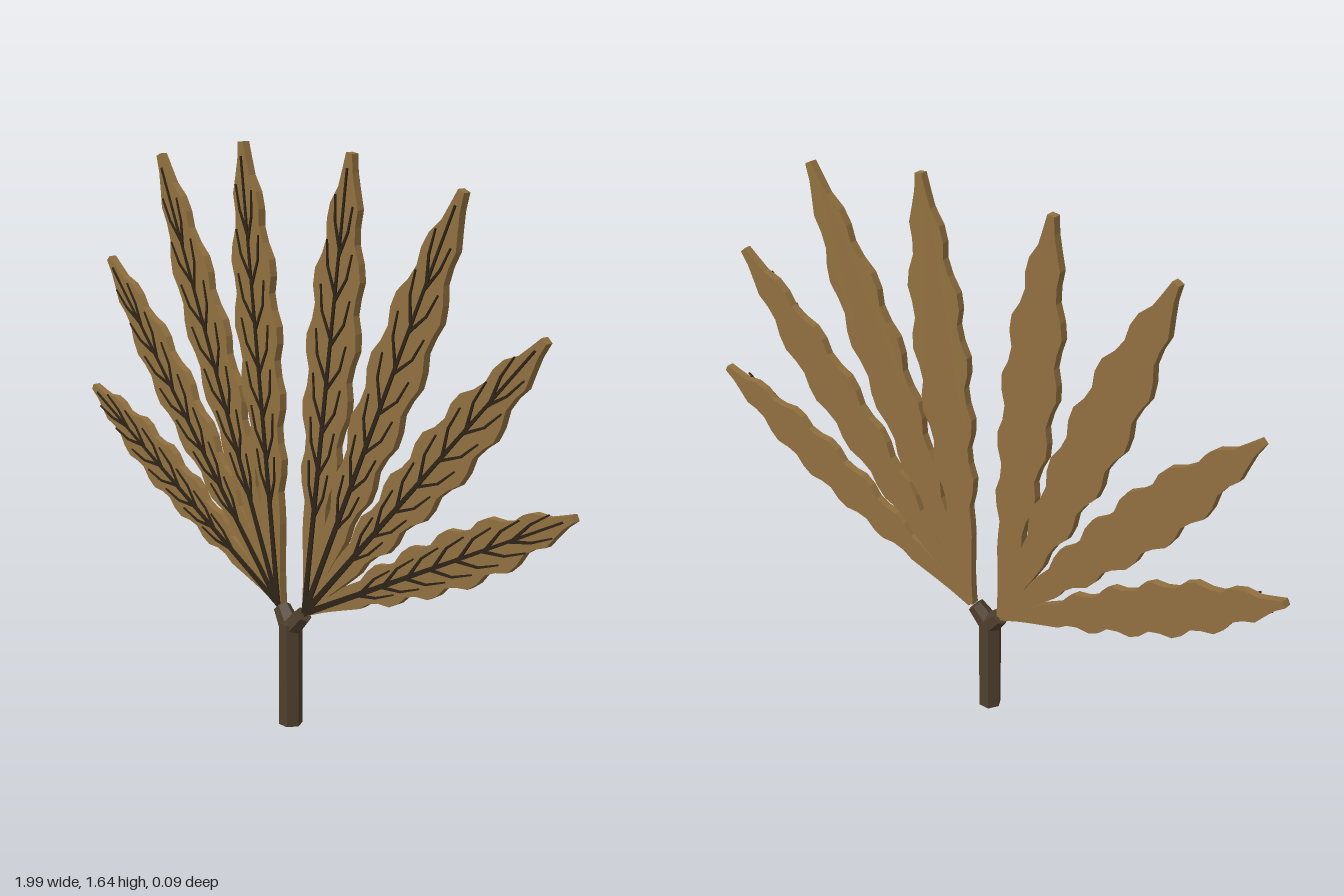
import * as THREE from 'three';
import { mergeGeometries } from 'three/addons/utils/BufferGeometryUtils.js';

const leafMat = new THREE.MeshStandardMaterial({ color: 0x91703f, flatShading: true });
const veinMat = new THREE.MeshStandardMaterial({ color: 0x2e2418, flatShading: true });
const stemMat = new THREE.MeshStandardMaterial({ color: 0x4f3f2d, flatShading: true });

const BASE = [0.055, 0.345];
const THICK = 0.023;
const VEIN = 0.005;

// tip position and widest half width of each leaflet, lowest first
const LEAFLETS = [
  { tip: [0.99, 0.82], half: 0.072 },
  { tip: [0.885, 1.24], half: 0.078 },
  { tip: [0.61, 1.575], half: 0.084 },
  { tip: [0.22, 1.64], half: 0.086 },
];

// relative half width along the leaflet
const PROFILE = [
  [0, 0.12], [0.08, 0.22], [0.16, 0.4], [0.28, 0.62], [0.42, 0.85],
  [0.58, 1], [0.72, 0.95], [0.84, 0.68], [0.93, 0.36], [1, 0.13],
];

function widthAt(t) {
  for (let i = 1; i < PROFILE.length; i++) {
    const [t0, w0] = PROFILE[i - 1], [t1, w1] = PROFILE[i];
    if (t <= t1) return w0 + (w1 - w0) * (t - t0) / (t1 - t0);
  }
  return PROFILE[PROFILE.length - 1][1];
}

function extrude(points, depth) {
  const shape = new THREE.Shape(points.map(([x, y]) => new THREE.Vector2(x, y)));
  return new THREE.ExtrudeGeometry(shape, { depth, bevelEnabled: false });
}

// blade outline with a wavy margin, running along +x
function bladeGeometry(length, half, side) {
  const steps = 28;
  const edge = (s) => Array.from({ length: steps + 1 }, (_, i) => {
    const t = i / steps;
    const fade = THREE.MathUtils.smoothstep(t, 0.15, 0.3) * (1 - THREE.MathUtils.smoothstep(t, 0.88, 1));
    const wave = 0.011 * fade * Math.sin(t * Math.PI * 2 * 7 + s * 0.5);
    return [t * length, s * side * (half * widthAt(t) + wave)];
  });
  return extrude([...edge(-1), ...edge(1).reverse()], THICK);
}

// tapered raised line through a few points
function veinGeometry(points, w0, w1) {
  const offset = (s) => points.map(([x, y], i) => {
    const a = points[Math.max(i - 1, 0)], b = points[Math.min(i + 1, points.length - 1)];
    const len = Math.hypot(b[0] - a[0], b[1] - a[1]);
    const w = s * (w0 + (w1 - w0) * i / (points.length - 1)) / 2;
    return [x - (b[1] - a[1]) / len * w, y + (b[0] - a[0]) / len * w];
  });
  return extrude([...offset(-1), ...offset(1).reverse()], VEIN);
}

// midrib with pairs of side veins bending towards the tip
function veinsGeometry(length, half) {
  const parts = [veinGeometry([[0, 0], [length * 0.5, 0], [length * 0.97, 0]], 0.018, 0.006)];
  for (let i = 0; i < 7; i++) {
    const t = 0.22 + i * 0.095;
    for (const s of [-1, 1]) {
      const start = (t + (s > 0 ? 0.015 : 0)) * length;
      const reach = half * widthAt(t + 0.08) * s;
      parts.push(veinGeometry(
        [[start, 0], [start + 0.07, reach * 0.52], [start + 0.14, reach * 0.68]], 0.009, 0.004));
    }
  }
  return mergeGeometries(parts);
}

function leaflet({ tip, half }, side) {
  const dx = tip[0] - BASE[0], dy = tip[1] - BASE[1];
  const length = Math.hypot(dx, dy);
  const group = new THREE.Group();
  group.name = 'leaflet';
  const blade = new THREE.Mesh(bladeGeometry(length, half, side), leafMat);
  blade.name = 'blade';
  const veins = new THREE.Mesh(veinsGeometry(length, half), veinMat);
  veins.name = 'veins';
  veins.position.z = THICK - 0.001;
  group.add(blade, veins);
  group.position.set(side * BASE[0], BASE[1], 0);
  group.rotation.z = Math.atan2(dy, side * dx);
  return group;
}

// six-sided rod between two points
function rod(name, from, to, r0, r1) {
  const a = new THREE.Vector3(...from), b = new THREE.Vector3(...to);
  const geo = new THREE.CylinderGeometry(r1, r0, a.distanceTo(b), 6);
  geo.rotateY(Math.PI / 6);
  const mesh = new THREE.Mesh(geo, stemMat);
  mesh.name = name;
  mesh.position.copy(a).add(b).multiplyScalar(0.5);
  mesh.quaternion.setFromUnitVectors(new THREE.Vector3(0, 1, 0), b.sub(a).normalize());
  return mesh;
}

export function createModel() {
  const model = new THREE.Group();
  model.name = 'palmLeaf';
  model.add(rod('stem', [0, 0, 0.013], [0, 0.305, 0.013], 0.034, 0.034));

  for (const side of [1, -1]) {
    const name = side > 0 ? 'left' : 'right';
    model.add(rod(name + 'Fork', [0, 0.287, 0.012], [side * 0.047, 0.338, 0.004], 0.032, 0.025));

    // each half of the fan sweeps slightly backwards
    const fan = new THREE.Group();
    fan.name = name + 'Fan';
    LEAFLETS.forEach((spec) => fan.add(leaflet(spec, side)));
    fan.position.z = 0.012 - THICK;
    fan.rotation.y = side * 0.035;
    model.add(fan);
  }
  return model;
}
